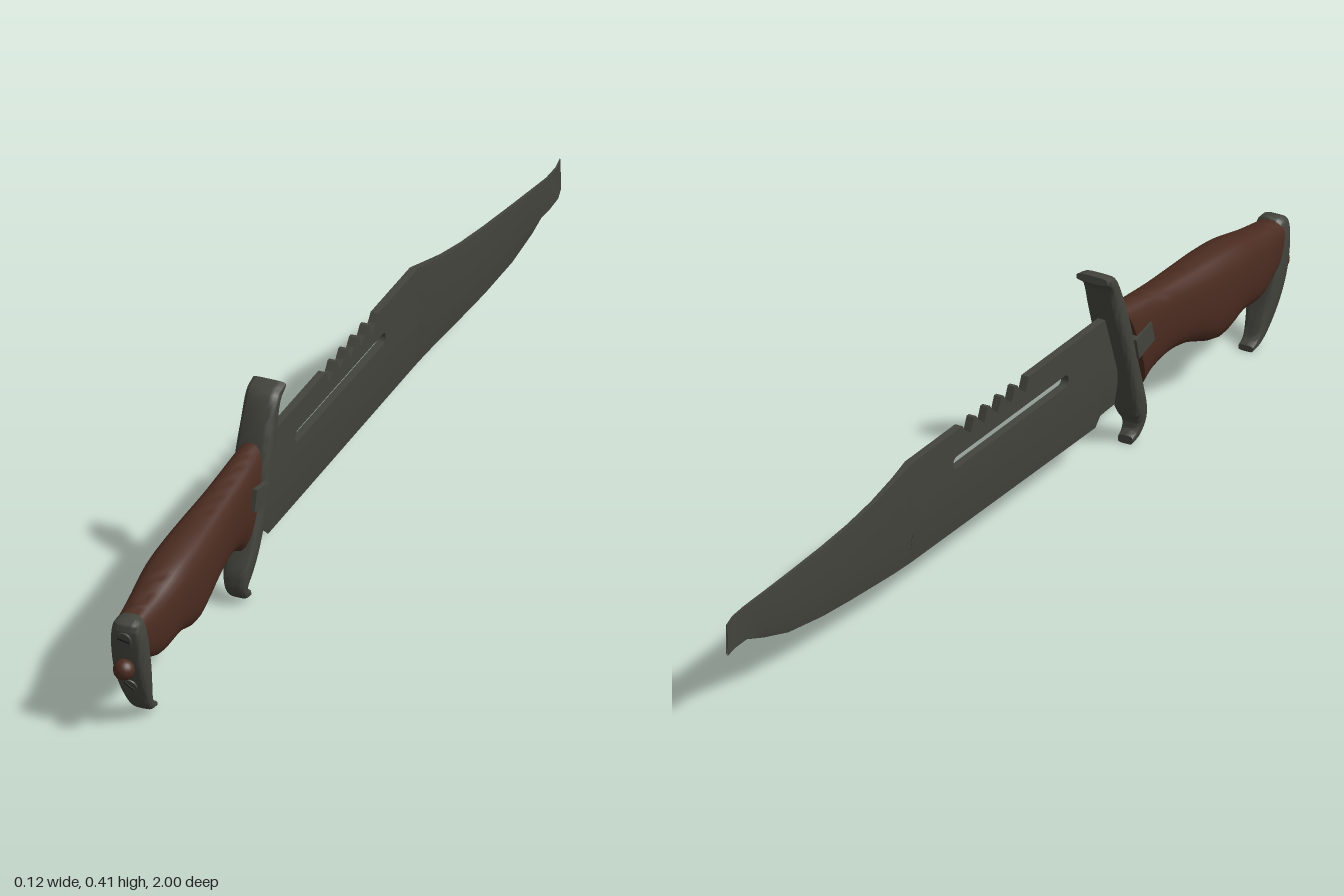
import * as THREE from 'three';
import { toCreasedNormals } from 'three/addons/utils/BufferGeometryUtils.js';

const steel = new THREE.MeshStandardMaterial({ color: 0x42433c });
steel.name = 'darkSteel';
const wood = new THREE.MeshStandardMaterial({ color: 0x4a2b20 });
wood.name = 'brownWood';
const shade = new THREE.MeshStandardMaterial({ color: 0x20211d });
shade.name = 'screwSlotDark';

const CENTRE_X = -0.004;

// Closed skin through equal-sized rings, with fan caps, always facing outwards
function loft(rings, crease) {
  const n = rings[0].length, pos = rings.flat(2), index = [];
  for (let r = 0; r < rings.length - 1; r++) {
    for (let i = 0; i < n; i++) {
      const a = r * n + i, b = r * n + (i + 1) % n;
      index.push(a, b, b + n, a, b + n, a + n);
    }
  }
  const last = (rings.length - 1) * n;
  for (let i = 1; i < n - 1; i++) index.push(0, i + 1, i, last, last + i, last + i + 1);
  let volume = 0;
  const p = (i) => new THREE.Vector3().fromArray(pos, i * 3);
  for (let i = 0; i < index.length; i += 3) volume += p(index[i]).dot(p(index[i + 1]).cross(p(index[i + 2])));
  if (volume < 0) index.reverse();
  const g = new THREE.BufferGeometry();
  g.setAttribute('position', new THREE.Float32BufferAttribute(pos, 3));
  g.setIndex(index);
  return toCreasedNormals(g, crease);
}

// Stations [zA, yA, zB, yB, halfWidth]: rounded sections between two edge curves
function edgeLoft(stations, power, cx) {
  const curve = (f) => new THREE.CatmullRomCurve3(stations.map(f), false, 'catmullrom', 0.5);
  const edgeA = curve((s) => new THREE.Vector3(s[4], s[1], s[0]));
  const edgeB = curve((s) => new THREE.Vector3(s[4], s[3], s[2]));
  const steps = (stations.length - 1) * 4, rings = [];
  const bulge = (v) => Math.sign(v) * Math.abs(v) ** power;
  for (let k = 0; k <= steps; k++) {
    const a = edgeA.getPoint(k / steps), b = edgeB.getPoint(k / steps), ring = [];
    for (let i = 0; i < 24; i++) {
      const ang = (i / 24) * Math.PI * 2, s = 0.5 + 0.5 * bulge(Math.sin(ang));
      ring.push([cx + a.x * bulge(Math.cos(ang)), b.y + (a.y - b.y) * s, b.z + (a.z - b.z) * s]);
    }
    rings.push(ring);
  }
  return loft(rings, 0.8);
}

// Sideways drift of the blade towards its tip
function bend(z) {
  const d = Math.max(0, -0.4 - z), curl = Math.max(0, -0.95 - z);
  return 0.013 * (0.3 - z) + 0.075 * d ** 1.15 - 0.3 * curl;
}

// Blade section: spine, shoulder and ground edge
function bladeRing([z, top, bottom, tSpine, t]) {
  const shoulder = Math.min(0.15, (top + bottom) / 2), x = bend(z), e = Math.min(0.001, t);
  return [[x + tSpine, top, z], [x + t, shoulder, z], [x + e, bottom, z],
    [x - e, bottom, z], [x - t, shoulder, z], [x - tSpine, top, z]];
}

// Upper blade with slot and saw notches, drawn with u = -z
function bladeBody() {
  const T = 0.008, shape = new THREE.Shape();
  shape.moveTo(-0.37, 0.2);
  shape.lineTo(0.38, 0.2);
  shape.lineTo(0.38, 0.3);
  for (let i = 4; i >= 0; i--) {
    const u = -0.045 + i * 0.05;
    shape.lineTo(u + 0.042, 0.3);
    shape.lineTo(u + 0.03, 0.285);
    shape.lineTo(u + 0.012, 0.273);
    shape.lineTo(u, 0.3);
  }
  shape.lineTo(-0.37, 0.3);
  const slot = new THREE.Path();
  slot.absarc(-0.178, 0.232, 0.0125, Math.PI / 2, Math.PI * 1.5, false);
  slot.absarc(0.218, 0.232, 0.0125, -Math.PI / 2, Math.PI / 2, false);
  slot.closePath();
  shape.holes.push(slot);
  const g = new THREE.ExtrudeGeometry(shape, { depth: 2 * T, bevelEnabled: false, curveSegments: 8 });
  g.translate(0, 0, -T).rotateY(Math.PI / 2);
  const p = g.attributes.position;
  for (let i = 0; i < p.count; i++) p.setX(i, p.getX(i) + bend(p.getZ(i)));
  g.computeVertexNormals();
  return g;
}

export function createModel() {
  const model = new THREE.Group();
  model.name = 'knife';
  const add = (name, geometry, material, parent = model) => {
    const mesh = new THREE.Mesh(geometry, material);
    mesh.name = name;
    parent.add(mesh);
    return mesh;
  };

  // Blade
  const blade = new THREE.Group();
  blade.name = 'blade';
  model.add(blade);
  add('bladeBody', bladeBody(), steel, blade);
  add('bladeEdge', loft([
    [0.37, 0.2, 0.1, 0.008, 0.008], [0.318, 0.2, 0.098, 0.008, 0.008],
    [0.3, 0.2, 0.08, 0.008, 0.007], [-0.38, 0.2, 0.085, 0.008, 0.008],
  ].map(bladeRing), 0.15), steel, blade);
  add('bladeTip', loft([
    [-0.38, 0.3, 0.085, 0.008, 0.008], [-0.43, 0.286, 0.086, 0.006, 0.009],
    [-0.5, 0.267, 0.088, 0.005, 0.009], [-0.58, 0.252, 0.09, 0.004, 0.009],
    [-0.67, 0.24, 0.094, 0.004, 0.008], [-0.78, 0.23, 0.106, 0.003, 0.007],
    [-0.86, 0.223, 0.128, 0.003, 0.006], [-0.92, 0.219, 0.155, 0.002, 0.005],
    [-0.965, 0.217, 0.184, 0.002, 0.004], [-1, 0.216, 0.211, 0.001, 0.002],
  ].map(bladeRing), 0.3), steel, blade);

  // Handle with finger swells
  add('handle', edgeLoft([
    [0.365, 0.312, 0.44, 0.115, 0.033], [0.42, 0.306, 0.47, 0.135, 0.036],
    [0.52, 0.295, 0.53, 0.146, 0.04], [0.62, 0.288, 0.6, 0.135, 0.047],
    [0.7, 0.284, 0.7, 0.1, 0.052], [0.78, 0.275, 0.78, 0.118, 0.05],
    [0.86, 0.258, 0.85, 0.113, 0.043], [0.91, 0.25, 0.89, 0.125, 0.037],
    [0.955, 0.243, 0.915, 0.14, 0.033],
  ], 0.75, -0.007), wood);

  // Curved cross guard with side lugs
  add('guard', edgeLoft([
    [0.283, 0.41, 0.28, 0.396, 0.034], [0.32, 0.4, 0.302, 0.375, 0.034],
    [0.35, 0.35, 0.315, 0.325, 0.034], [0.372, 0.29, 0.335, 0.27, 0.036],
    [0.4, 0.2, 0.363, 0.19, 0.036], [0.432, 0.12, 0.39, 0.11, 0.032],
    [0.453, 0.07, 0.407, 0.065, 0.026], [0.453, 0.035, 0.423, 0.042, 0.021],
    [0.432, 0.01, 0.42, 0.027, 0.018], [0.405, 0.002, 0.407, 0.018, 0.016],
  ], 0.5, CENTRE_X), steel);
  for (const side of [1, -1]) {
    const lug = add(side > 0 ? 'leftGuardLug' : 'rightGuardLug', new THREE.BoxGeometry(0.02, 0.045, 0.06), steel);
    lug.position.set(CENTRE_X + side * 0.031, 0.228, 0.413);
    lug.rotation.x = -0.25;
  }

  // Hooked pommel
  add('pommel', edgeLoft([
    [0.962, 0.247, 0.94, 0.247, 0.016], [0.978, 0.237, 0.935, 0.236, 0.027],
    [0.977, 0.2, 0.928, 0.2, 0.033], [0.967, 0.14, 0.913, 0.14, 0.033],
    [0.945, 0.085, 0.9, 0.09, 0.029], [0.915, 0.035, 0.885, 0.052, 0.022],
    [0.886, 0.01, 0.873, 0.025, 0.018], [0.855, 0.002, 0.856, 0.014, 0.016],
  ], 0.5, CENTRE_X), steel);

  // Pommel screws and knob
  for (const [name, y, z, tilt, turn] of [['upperScrew', 0.21, 0.976, 0.08, -0.2], ['lowerScrew', 0.098, 0.949, 0.35, -0.8]]) {
    const screw = new THREE.Group();
    screw.name = name;
    screw.position.set(CENTRE_X, y, z);
    screw.rotation.x = tilt;
    add(name + 'Head', new THREE.CylinderGeometry(0.015, 0.016, 0.012, 20).rotateX(Math.PI / 2), steel, screw);
    add(name + 'Slot', new THREE.BoxGeometry(0.026, 0.004, 0.002).rotateZ(turn).translate(0, 0, 0.006), shade, screw);
    model.add(screw);
  }
  add('pommelKnob', new THREE.SphereGeometry(0.021, 20, 14), wood).position.set(CENTRE_X, 0.145, 0.979);
  return model;
}
